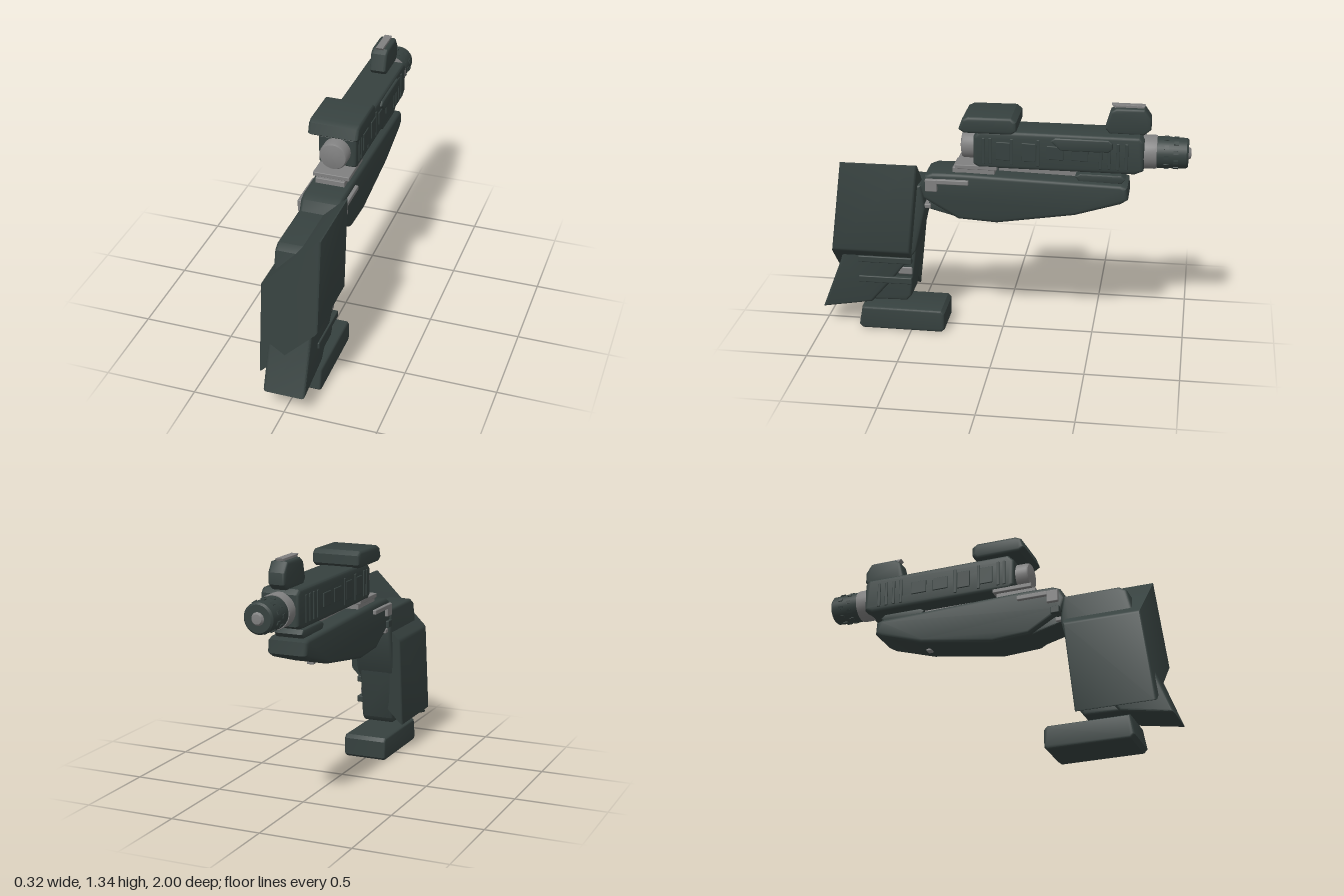
import * as THREE from 'three';
import { toCreasedNormals } from 'three/addons/utils/BufferGeometryUtils.js';
import { RoundedBoxGeometry } from 'three/addons/geometries/RoundedBoxGeometry.js';

export function createModel() {
  const dark = new THREE.MeshStandardMaterial({ name: 'dark green grey', color: 0x36413f });
  const steel = new THREE.MeshStandardMaterial({ name: 'steel grey', color: 0x808080 });
  const group = new THREE.Group();

  const add = (name, geometry, material = dark) => {
    const mesh = new THREE.Mesh(geometry, material);
    mesh.name = name;
    group.add(mesh);
    return mesh;
  };

  // Side profile given as [z, y] points, extruded across x from x0 to x1
  const profile = (name, points, x0, x1, bevel = 0.015, material = dark) => {
    const shape = new THREE.Shape(points.map(([z, y]) => new THREE.Vector2(-z, y)));
    const geometry = new THREE.ExtrudeGeometry(shape, {
      depth: x1 - x0 - 2 * bevel, bevelEnabled: bevel > 0, bevelThickness: bevel,
      bevelSize: bevel, bevelOffset: -bevel, bevelSegments: 3,
    });
    geometry.translate(0, 0, x0 + bevel).rotateY(Math.PI / 2);
    return add(name, toCreasedNormals(geometry, 0.6), material);
  };

  // Rounded box given by its limits
  const box = (name, x0, x1, y0, y1, z0, z1, radius = 0.004, material = dark) => {
    const geometry = new RoundedBoxGeometry(x1 - x0, y1 - y0, z1 - z0, 2, radius);
    geometry.translate((x0 + x1) / 2, (y0 + y1) / 2, (z0 + z1) / 2);
    return add(name, geometry, material);
  };

  // Turned part along z: [radius, z] from the muzzle end backwards
  const turned = (name, points, material = dark) => {
    const geometry = new THREE.LatheGeometry(points.map(([r, z]) => new THREE.Vector2(r, z)), 32);
    geometry.rotateX(Math.PI / 2).translate(0, 1.08, 0);
    return add(name, toCreasedNormals(geometry, 0.6), material);
  };

  // Slide
  profile('slide', [[0.145, 1.0], [0.145, 1.15], [0.11, 1.185], [-0.73, 1.185], [-0.755, 1.16],
    [-0.755, 1.0], [-0.71, 0.98], [0.12, 0.98]], -0.104, 0.104, 0.018);

  // Muzzle and rear plug
  turned('muzzleCollar', [[0, -0.82], [0.088, -0.82], [0.09, -0.81], [0.09, -0.74], [0, -0.74]], steel);
  turned('muzzle', [[0, -0.985], [0.07, -0.985], [0.08, -0.975], [0.085, -0.84], [0.083, -0.81], [0, -0.81]]);
  turned('muzzleTip', [[0, -1], [0.025, -0.998], [0.034, -0.985], [0.034, -0.97], [0, -0.97]], steel);
  turned('rearPlug', [[0, 0.1], [0.076, 0.1], [0.076, 0.205], [0.07, 0.215], [0.04, 0.222], [0, 0.224]], steel);
  for (let ring = 0; ring < 10; ring++) {
    for (const z of [-0.87, -0.92]) {
      const stud = add('muzzleStud', new THREE.BoxGeometry(0.02, 0.008, 0.025));
      const a = (ring + (z < -0.9 ? 0.5 : 0)) * Math.PI / 5;
      stud.position.set(Math.cos(a) * 0.083, 1.08 + Math.sin(a) * 0.083, z);
      stud.rotation.z = a + Math.PI / 2;
    }
  }

  // Slide side details on both sides
  for (const s of [-1, 1]) {
    const raised = (name, y0, y1, z0, z1, out = 0.109) =>
      box(name, Math.min(s * 0.098, s * out), Math.max(s * 0.098, s * out), y0, y1, z0, z1);
    for (const z of [0.09, 0.055, -0.06, -0.2, -0.53, -0.575, -0.62, -0.665]) {
      raised('slideRib', 1.005, 1.15, z - 0.009, z + 0.009);
    }
    for (const z of [-0.015, -0.15]) raised('slidePad', 1.03, 1.13, z - 0.038, z + 0.038);
    for (const z of [-0.29, -0.42]) raised('slideLug', 1.045, 1.12, z - 0.045, z + 0.045);
  }
  profile('ejectionBar', [[-0.265, 1.15], [-0.29, 1.168], [-0.57, 1.168], [-0.592, 1.15], [-0.592, 1.12],
    [-0.57, 1.1], [-0.32, 1.1]], 0.09, 0.117, 0.008);

  // Sights
  profile('rearSight', [[0.22, 1.2], [0.2, 1.255], [0.17, 1.27], [-0.06, 1.272], [-0.088, 1.25],
    [-0.088, 1.2], [-0.06, 1.18], [0.19, 1.18]], -0.137, 0.137, 0.016);
  profile('frontSight', [[-0.545, 1.21], [-0.57, 1.3], [-0.6, 1.322], [-0.75, 1.322], [-0.785, 1.27],
    [-0.785, 1.21], [-0.75, 1.18], [-0.57, 1.18]], -0.047, 0.047, 0.014);
  profile('sightInsert', [[-0.575, 1.335], [-0.75, 1.335], [-0.74, 1.31], [-0.6, 1.31]], -0.021, 0.021, 0.003, steel);

  // Connection between slide and frame
  box('barrelBlock', -0.1, 0.1, 0.966, 0.99, 0.02, 0.245, 0.004, steel);
  box('lockBlock', -0.08, 0.08, 0.93, 0.968, 0.035, 0.262, 0.004, steel);
  box('guideRod', -0.008, 0.008, 0.92, 0.99, -0.6, 0.02, 0.003, steel);
  profile('frontRail', [[-0.395, 0.945], [-0.42, 0.962], [-0.64, 0.962], [-0.662, 0.94],
    [-0.64, 0.915], [-0.42, 0.915]], -0.078, 0.078, 0.008);

  // Frame
  profile('frame', [[0.44, 0.86], [0.41, 0.92], [0.37, 0.937], [0.2, 0.94], [-0.64, 0.918], [-0.675, 0.905],
    [-0.68, 0.835], [-0.64, 0.81], [-0.4, 0.735], [0.02, 0.668], [0.23, 0.68], [0.37, 0.76], [0.42, 0.79]],
  -0.11, 0.11, 0.02);
  profile('underPad', [[0.38, 0.77], [0.42, 0.73], [0.23, 0.68], [0.02, 0.668], [0.05, 0.72]], -0.085, 0.085, 0.01);
  for (const s of [-1, 1]) {
    const x0 = Math.min(s * 0.1, s * 0.128), x1 = Math.max(s * 0.1, s * 0.128);
    box('leverTab', x0, x1, 0.838, 0.907, 0.34, 0.405, 0.005, steel);
    box('leverArm', x0, x1, 0.882, 0.908, 0.17, 0.345, 0.005, steel);
  }
  box('sideButton', -0.126, -0.1, 0.77, 0.81, 0.36, 0.41, 0.004);
  box('catchButton', -0.1, 0.1, 0.73, 0.755, 0.38, 0.425, 0.006, steel);
  box('framePin', -0.02, 0.02, 0.722, 0.76, -0.405, -0.375, 0.005, steel);

  // Grip: rear shell and narrower front core
  profile('grip', [[0.78, 0.84], [0.74, 0.865], [0.43, 0.865], [0.41, 0.73], [0.465, 0.48], [0.6, 0.3],
    [0.72, 0.158], [1.0, 0.11], [0.89, 0.4]], -0.113, 0.113, 0.016);
  profile('gripCore', [[0.7, 0.8], [0.43, 0.8], [0.42, 0.7], [0.465, 0.48], [0.5, 0.2], [0.525, 0.17],
    [0.75, 0.165]], -0.095, 0.095, 0.015);

  // Slanted cover around the grip, sheared so its left side rides higher
  const cover = profile('gripCover', [[0.86, 0.84], [0.44, 0.84], [0.493, 0.325], [0.925, 0.325]], -0.161, 0.161, 0.012);
  const p = cover.geometry.attributes.position;
  for (let i = 0; i < p.count; i++) p.setY(i, p.getY(i) + p.getX(i));
  cover.geometry = toCreasedNormals(cover.geometry, 0.6);

  // Bands, trigger and magazine
  box('upperBand', -0.122, 0.122, 0.4, 0.437, 0.49, 0.79, 0.006);
  box('lowerBand', -0.122, 0.122, 0.28, 0.318, 0.49, 0.79, 0.006);
  box('trigger', -0.1, 0.1, 0.33, 0.375, 0.49, 0.57, 0.008, steel);
  profile('magazine', [[0.795, 0.02], [0.775, 0.13], [0.33, 0.13], [0.312, 0.11], [0.312, 0.015],
    [0.33, 0], [0.775, 0]], -0.126, 0.126, 0.014);
  return group;
}
